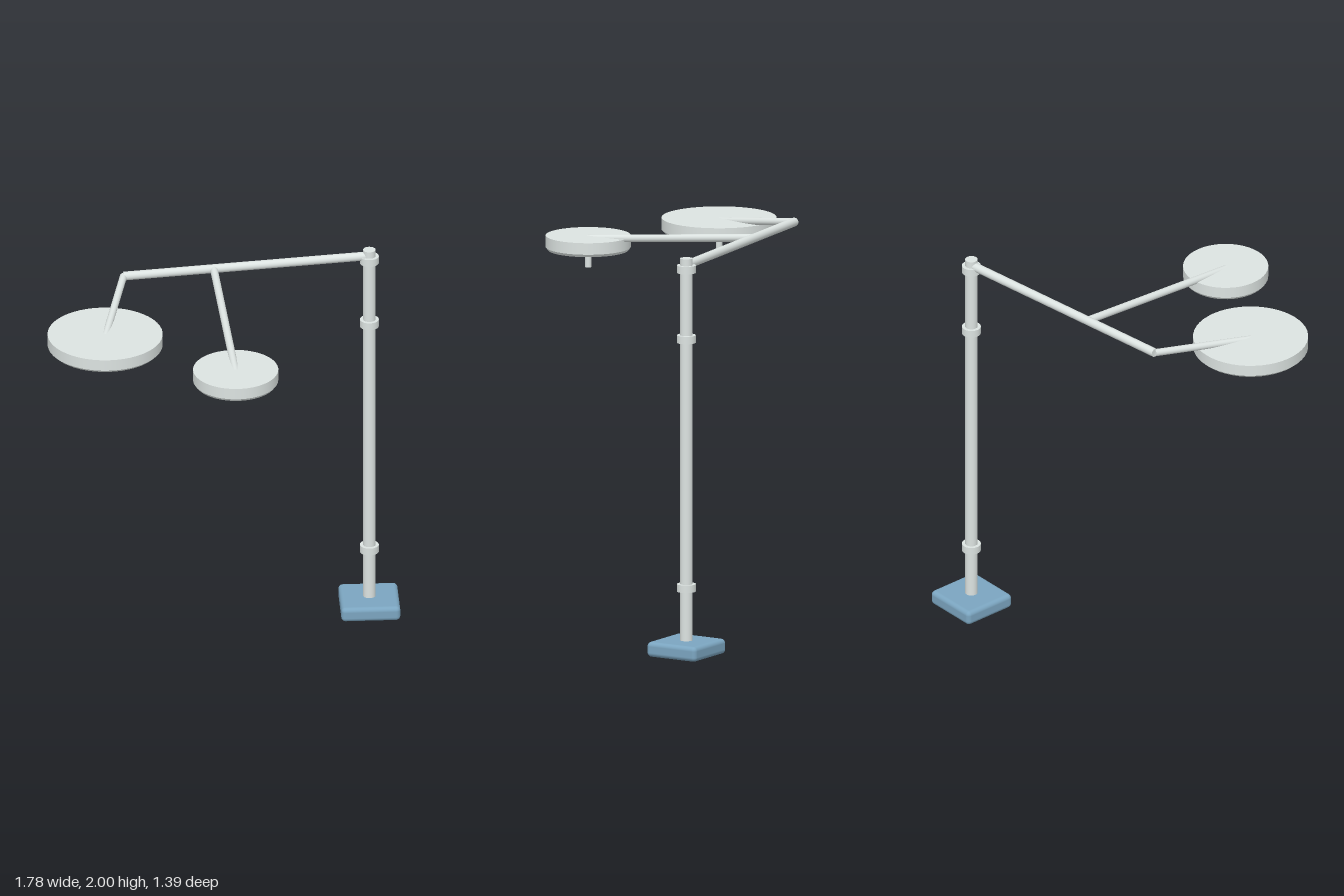
import * as THREE from 'three';
import { RoundedBoxGeometry } from 'three/addons/geometries/RoundedBoxGeometry.js';

const material = (name, color) => {
  const m = new THREE.MeshStandardMaterial({ color });
  m.name = name;
  return m;
};

export function createModel() {
  const grey = material('light grey metal', 0xdce3e1);
  const blue = material('blue base', 0x7ba5c0);
  const dark = material('dark lamp face', 0x3f4649);

  const model = new THREE.Group();
  model.name = 'surgicalLampStand';

  const add = (parent, name, geometry, mat, x = 0, y = 0, z = 0) => {
    const mesh = new THREE.Mesh(geometry, mat);
    mesh.name = name;
    mesh.position.set(x, y, z);
    parent.add(mesh);
    return mesh;
  };

  // Upright cylinder between two heights
  const column = (parent, name, rTop, rBottom, y0, y1, mat, x = 0, z = 0, sides = 32) =>
    add(parent, name, new THREE.CylinderGeometry(rTop, rBottom, y1 - y0, sides), mat, x, (y0 + y1) / 2, z);

  // Straight rod between two points
  const rod = (name, a, b, radius) => {
    const dir = b.clone().sub(a);
    const mesh = add(model, name, new THREE.CylinderGeometry(radius, radius, dir.length(), 24), grey);
    mesh.position.copy(a).add(b).multiplyScalar(0.5);
    mesh.quaternion.setFromUnitVectors(new THREE.Vector3(0, 1, 0), dir.normalize());
  };

  // Base, pole and collars
  const px = 0.742, pz = -0.552;
  add(model, 'base', new RoundedBoxGeometry(0.293, 0.075, 0.288, 4, 0.022), blue, px, 0.0375, pz);
  column(model, 'pole', 0.031, 0.031, 0.06, 2, grey, px, pz);
  for (const y of [0.34, 1.594, 1.946]) {
    column(model, 'collar', 0.047, 0.047, y - 0.019, y + 0.019, grey, px, pz);
  }

  // Boom with two arms reaching down to the lamp heads
  const pole = new THREE.Vector3(px, 1.966, pz);
  const tip = new THREE.Vector3(-0.485, 1.966, -0.405);
  rod('boom', pole, tip, 0.022);
  rod('largeLampArm', tip, new THREE.Vector3(-0.607, 1.898, 0.114), 0.018);
  rod('smallLampArm', pole.clone().lerp(tip, 0.633), new THREE.Vector3(0.018, 1.872, 0.484), 0.019);

  // Lamp head: housing, dark face inside a pale rim, ring of lenses, hub and handle
  const lamp = (name, R, x, top, z) => {
    const head = new THREE.Group();
    head.name = name;
    head.position.set(x, top, z);
    model.add(head);
    column(head, 'housing', R, R, -0.058, 0, grey, 0, 0, 48);
    column(head, 'lowerRim', R, R * 0.95, -0.072, -0.058, grey, 0, 0, 48);
    column(head, 'lampFace', R * 0.85, R * 0.85, -0.074, -0.07, dark, 0, 0, 48);
    for (let i = 0; i < 8; i++) {
      const a = (i / 8) * Math.PI * 2;
      column(head, 'lens', R * 0.11, R * 0.11, -0.079, -0.07, grey,
        Math.cos(a) * R * 0.59, Math.sin(a) * R * 0.59, 20);
    }
    column(head, 'hub', R * 0.17, R * 0.17, -0.079, -0.07, grey, 0, 0, 24);
    column(head, 'handle', 0.016, 0.016, -0.16, -0.07, grey, 0, 0, 20);
  };
  lamp('largeLamp', 0.285, -0.607, 1.915, 0.114);
  lamp('smallLamp', 0.211, 0.018, 1.889, 0.484);

  return model;
}
